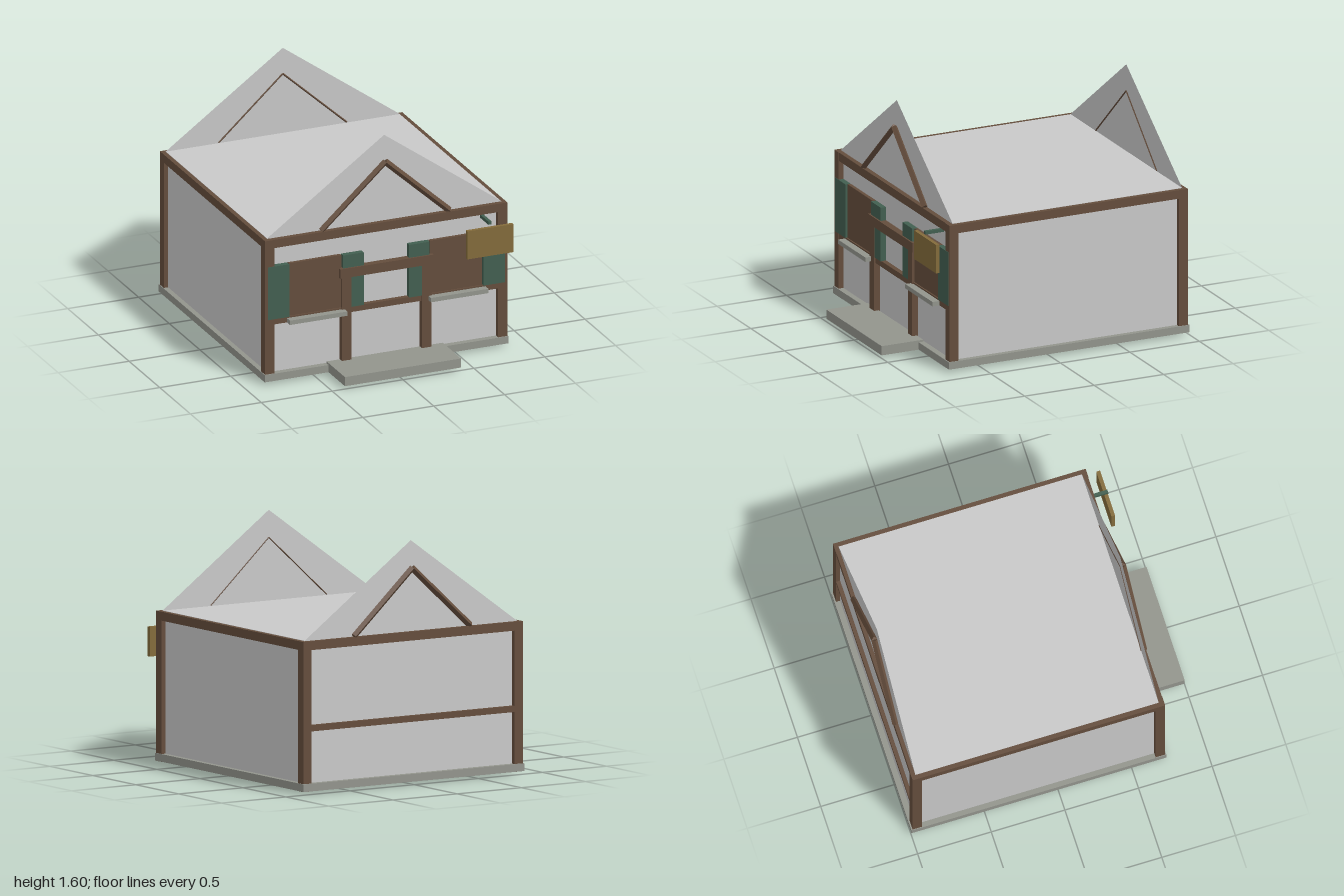
import * as THREE from 'three';

const material = (name, color, extra = {}) =>
  Object.assign(new THREE.MeshStandardMaterial({ color, ...extra }), { name });

export function createModel() {
  const plaster = material('plaster', 0xc8c8c8, { side: THREE.DoubleSide });
  const timber = material('timber', 0x644d3c);
  const stone = material('stone', 0x92948c);
  const green = material('green paint', 0x425f50);
  const ochre = material('ochre board', 0x836b3b);

  const house = new THREE.Group();
  house.name = 'house';

  const add = (name, geometry, mat) => {
    const mesh = new THREE.Mesh(geometry, mat);
    mesh.name = name;
    house.add(mesh);
    return mesh;
  };
  // Box given by its extents on each axis
  const box = (name, mat, [x0, x1], [y0, y1], [z0, z1]) =>
    add(name, new THREE.BoxGeometry(x1 - x0, y1 - y0, z1 - z0), mat)
      .position.set((x0 + x1) / 2, (y0 + y1) / 2, (z0 + z1) / 2);
  // Pair of boxes mirrored left and right
  const pair = (name, mat, [x0, x1], y, z) => {
    box(name + 'Left', mat, [x0, x1], y, z);
    box(name + 'Right', mat, [-x1, -x0], y, z);
  };

  // Base, entrance step and walls
  box('slab', stone, [-0.86, 0.86], [0.02, 0.07], [-0.998, 0.734]);
  box('entranceStep', stone, [-0.41, 0.41], [0.02, 0.083], [0.7, 1]);
  box('walls', plaster, [-0.825, 0.825], [0.07, 1.002], [-0.96, 0.692]);

  // Corner posts and beams
  pair('frontPost', timber, [0.79, 0.855], [0.018, 1], [0.662, 0.727]);
  pair('backPost', timber, [0.79, 0.855], [0.018, 1], [-0.988, -0.923]);
  pair('sideBeam', timber, [0.815, 0.855], [0.942, 1], [-0.923, 0.662]);
  for (const [side, z] of [['front', [0.67, 0.725]], ['back', [-0.986, -0.94]]]) {
    box(side + 'TopBeam', timber, [-0.79, 0.79], [0.942, 1], z);
    box(side + 'MiddleBeam', timber, [-0.79, 0.79], [0.41, 0.45], z);
  }

  // Gables with diamond-section rafters on their outer faces
  const triangle = new THREE.Shape([
    new THREE.Vector2(-0.83, 1), new THREE.Vector2(0.83, 1), new THREE.Vector2(0, 1.595),
  ]);
  const run = 0.452, rise = 0.41;
  for (const [side, gableZ, rafterZ] of [['front', 0.692, 0.71], ['back', -0.96, -0.976]]) {
    add(side + 'Gable', new THREE.ShapeGeometry(triangle), plaster).position.z = gableZ;
    for (const s of [-1, 1]) {
      const rafter = add(side + 'Rafter', new THREE.CylinderGeometry(
        0.022, 0.022, Math.hypot(run, rise), 4, 1).toNonIndexed(), timber);
      rafter.geometry.computeVertexNormals();
      rafter.position.set(s * run / 2, 1.005 + rise / 2, rafterZ);
      rafter.rotation.z = s * Math.atan2(run, rise);
    }
  }

  // Door frame
  pair('doorPost', timber, [0.25, 0.315], [0, 0.68], [0.686, 0.734]);
  box('doorLintel', timber, [-0.33, 0.33], [0.66, 0.725], [0.686, 0.74]);

  // Windows, shutters and sills
  pair('windowPanel', timber, [0.312, 0.68], [0.445, 0.815], [0.68, 0.716]);
  pair('innerShutter', green, [0.16, 0.305], [0.448, 0.815], [0.69, 0.73]);
  pair('outerShutter', green, [0.685, 0.835], [0.448, 0.815], [0.69, 0.73]);
  pair('windowSill', stone, [0.295, 0.7], [0.41, 0.44], [0.69, 0.775]);

  // Hanging board and its bracket
  box('bracket', green, [0.678, 0.7], [0.908, 0.93], [0.69, 0.825]);
  box('hangingBoard', ochre, [0.53, 0.855], [0.69, 0.885], [0.8, 0.825]);

  return house;
}
